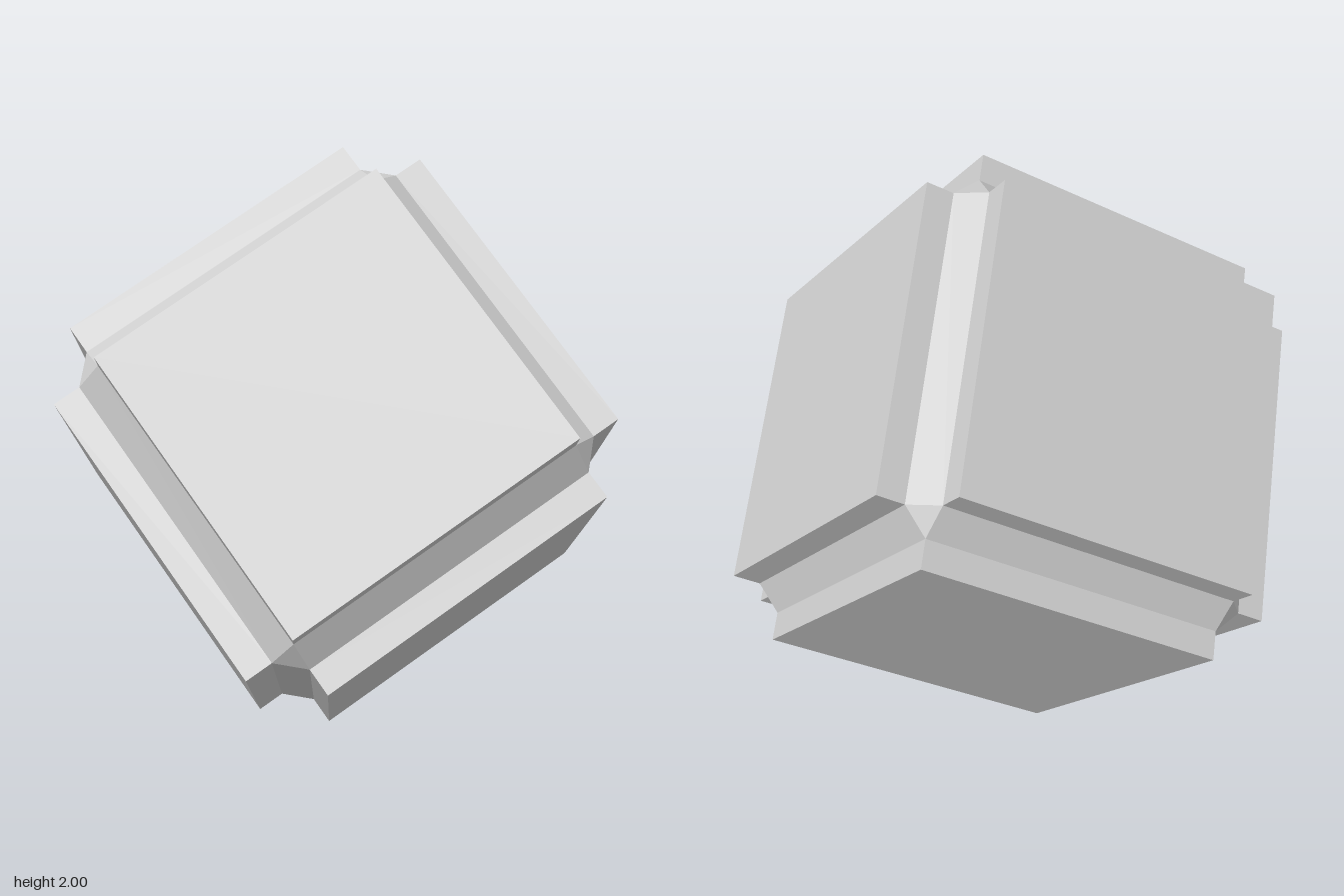
import * as THREE from 'three';
import { ConvexGeometry } from 'three/addons/geometries/ConvexGeometry.js';

const PANEL = 0.514;  // half width of each face panel
const CORE = 0.594;   // half width of the chamfered core
const OUTER = 0.687;  // distance from centre to panel surface

export function createModel() {
  const model = new THREE.Group();
  model.name = 'panelledCube';
  const material = new THREE.MeshStandardMaterial({ color: 0xcccccc, flatShading: true });

  // Cube tilted so that one face leans back in the xy plane, others at 45 degrees to z
  const h = Math.SQRT1_2;
  const cube = new THREE.Group();
  cube.name = 'cube';
  cube.quaternion.setFromRotationMatrix(new THREE.Matrix4().makeBasis(
    new THREE.Vector3(-h, h, 0),
    new THREE.Vector3(0.5, 0.5, h),
    new THREE.Vector3(0.5, 0.5, -h)
  ));
  cube.position.y = 1;
  model.add(cube);

  // Core: cube with chamfered edges and clipped corners
  const points = [];
  for (const x of [-1, 1]) for (const y of [-1, 1]) for (const z of [-1, 1]) {
    points.push(
      new THREE.Vector3(x * CORE, y * PANEL, z * PANEL),
      new THREE.Vector3(x * PANEL, y * CORE, z * PANEL),
      new THREE.Vector3(x * PANEL, y * PANEL, z * CORE)
    );
  }
  const core = new THREE.Mesh(new ConvexGeometry(points), material);
  core.name = 'chamferedCore';
  cube.add(core);

  // Raised square panel on each of the six faces
  const depth = OUTER - CORE;
  for (const axis of ['x', 'y', 'z']) {
    const size = new THREE.Vector3(PANEL * 2, PANEL * 2, PANEL * 2);
    size[axis] = depth;
    const geometry = new THREE.BoxGeometry(size.x, size.y, size.z);
    for (const side of [-1, 1]) {
      const panel = new THREE.Mesh(geometry, material);
      panel.name = 'facePanel';
      panel.position[axis] = side * (CORE + depth / 2);
      cube.add(panel);
    }
  }
  return model;
}
